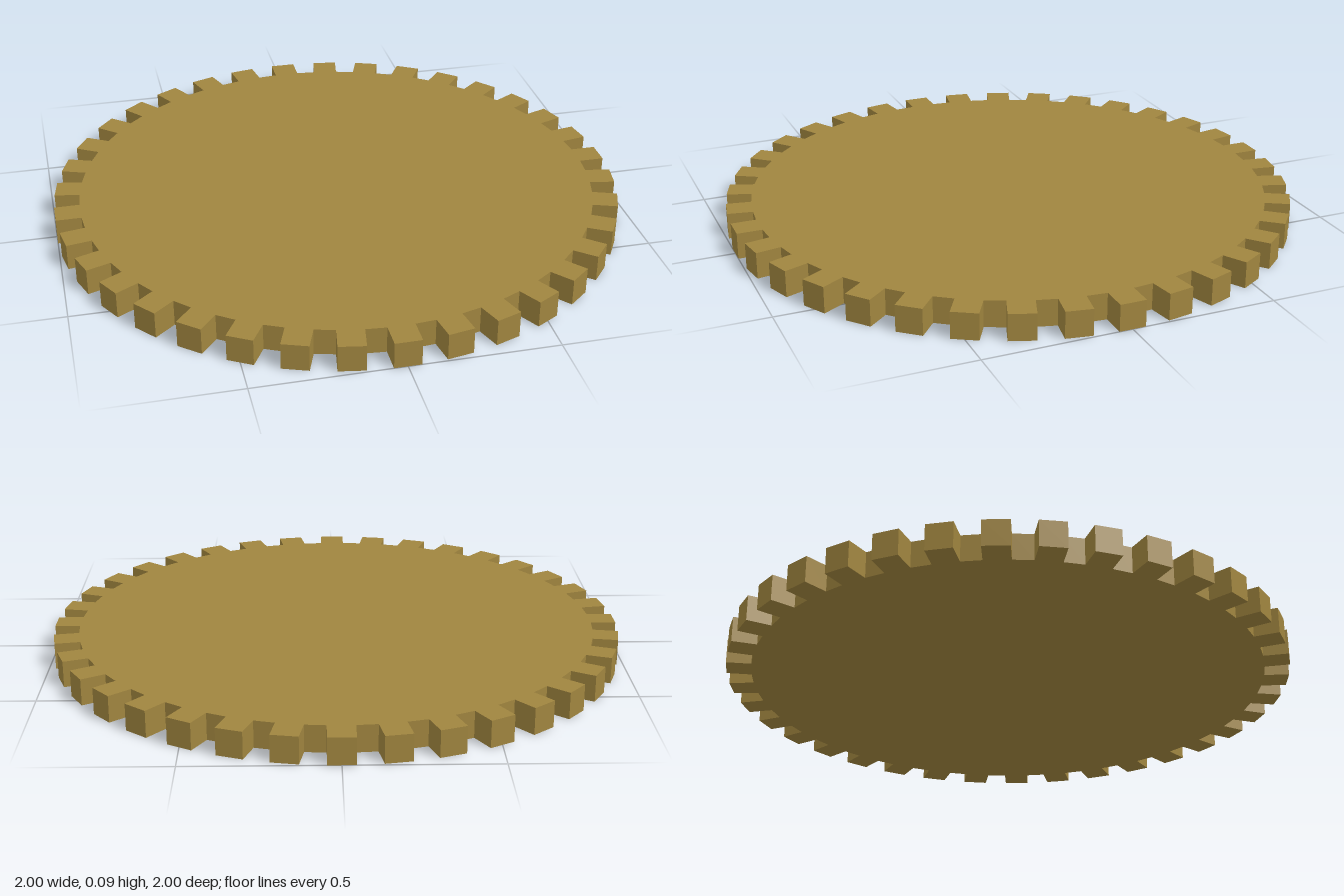
import * as THREE from 'three';

export function createModel() {
  const TEETH = 36, ROOT = 0.912, TIP = 1, HALF = 0.045, THICKNESS = 0.092;

  const brass = new THREE.MeshStandardMaterial({ color: 0xa0853f, flatShading: true });
  brass.name = 'brass';

  // Outline: straight-sided square teeth round a disc
  const outline = [];
  const centre = new THREE.Vector2();
  for (let i = 0; i < TEETH; i++) {
    const angle = (i / TEETH) * Math.PI * 2;
    for (const [r, t] of [[ROOT, -HALF], [TIP, -HALF], [TIP, HALF], [ROOT, HALF]]) {
      outline.push(new THREE.Vector2(r, t).rotateAround(centre, angle));
    }
  }

  // Flat gear plate lying on the ground
  const geometry = new THREE.ExtrudeGeometry(new THREE.Shape(outline), {
    depth: THICKNESS, bevelEnabled: false,
  });
  geometry.rotateX(-Math.PI / 2);

  const gear = new THREE.Mesh(geometry, brass);
  gear.name = 'gearWheel';

  const model = new THREE.Group();
  model.name = 'gear';
  model.add(gear);
  return model;
}
